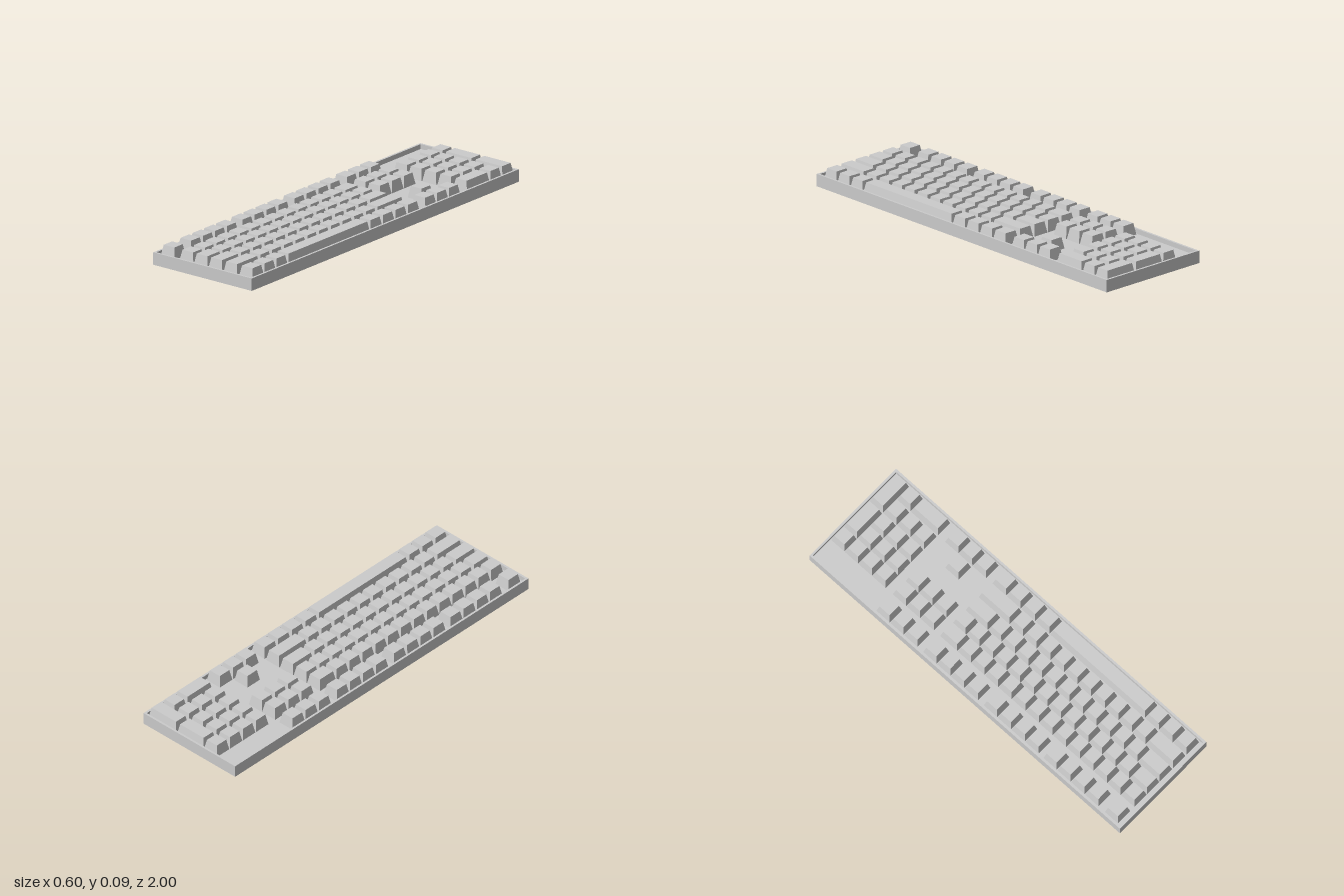
import * as THREE from 'three';

const material = new THREE.MeshStandardMaterial({ color: 0xcccccc, flatShading: true });
const W = 0.595, L = 2, H = 0.062, PLATE = 0.038, RIM = 0.011;
const KEY_TOP = 0.095, INSET = 0.0105, U = 0.0878, GAP = 0.004, KEY_W = 0.085;
// centre of each key row, back (function keys) to front (space bar)
const ROW_X = [-0.2355, -0.1225, -0.036, 0.052, 0.143, 0.237];

const repeat = (n, size = 1) => Array(n).fill(size);

// Tapered keycap: a box whose upper corners are pulled inwards
function keycap(name, x, z, w, l) {
  const h = KEY_TOP - PLATE;
  const geo = new THREE.BoxGeometry(w, h, l);
  const p = geo.attributes.position;
  for (let i = 0; i < p.count; i++) {
    if (p.getY(i) < 0) continue;
    p.setX(i, p.getX(i) - Math.sign(p.getX(i)) * INSET);
    p.setZ(i, p.getZ(i) - Math.sign(p.getZ(i)) * INSET);
  }
  geo.computeVertexNormals();
  const key = new THREE.Mesh(geo, material);
  key.name = name;
  key.position.set(x, PLATE + h / 2, z);
  return key;
}

// Lays keys one after another towards -z; a negative size is an empty space
function keyRow(name, x, zStart, sizes, w = KEY_W) {
  const row = new THREE.Group();
  row.name = name;
  let z = zStart;
  for (const s of sizes) {
    const l = Math.abs(s) * U;
    if (s > 0) row.add(keycap('key', x, z - l / 2, w, l - GAP));
    z -= l;
  }
  return row;
}

function rect(w, l, T) {
  return new T([
    new THREE.Vector2(-w / 2, -l / 2), new THREE.Vector2(w / 2, -l / 2),
    new THREE.Vector2(w / 2, l / 2), new THREE.Vector2(-w / 2, l / 2),
  ]);
}

function createCase() {
  const group = new THREE.Group();
  group.name = 'case';
  const base = new THREE.Mesh(new THREE.BoxGeometry(W, PLATE, L), material);
  base.name = 'basePlate';
  base.position.y = PLATE / 2;
  // raised border around the recessed plate
  const shape = rect(W, L, THREE.Shape);
  shape.holes.push(rect(W - 2 * RIM, L - 2 * RIM, THREE.Path));
  const frame = new THREE.ExtrudeGeometry(shape, { depth: H - PLATE, bevelEnabled: false });
  frame.rotateX(-Math.PI / 2);
  const rim = new THREE.Mesh(frame, material);
  rim.name = 'rim';
  rim.position.y = PLATE;
  group.add(base, rim);
  return group;
}

export function createModel() {
  const model = new THREE.Group();
  model.name = 'keyboard';
  model.add(createCase());

  // Main block
  const four = repeat(4, 1.02);
  const main = [
    ['functionRow', [1, -0.43, ...four, -0.3, ...four, -0.37, ...four]],
    ['numberRow', [...repeat(13), 1.3]],
    ['upperLetterRow', [1.3, ...repeat(13)]],
    ['homeRow', [1.63, ...repeat(11), 1.67]],
    ['lowerLetterRow', [2, ...repeat(10), 2.3]],
    ['spaceBarRow', [...repeat(3, 1.02), 7, ...repeat(4, 1.06)]],
  ];
  main.forEach(([name, sizes], i) => model.add(keyRow(name, ROW_X[i], 0.971, sizes)));

  // Navigation block and arrow keys
  const three = repeat(3, 1.02);
  for (const i of [0, 1, 2, 5]) {
    model.add(keyRow(i === 5 ? 'arrowRow' : 'navigationRow', ROW_X[i], -0.321, three));
  }
  model.add(keyRow('upArrow', ROW_X[4], -0.321, [-1.02, 1.02]));

  // Number pad: single keys, then the two tall keys in the last column
  const padZ = -0.632, pad = 1.01;
  model.add(keyRow('numberPadTopRow', ROW_X[1], padZ, repeat(4, pad)));
  for (const i of [2, 3, 4]) model.add(keyRow('numberPadRow', ROW_X[i], padZ, repeat(3, pad)));
  model.add(keyRow('numberPadBottomRow', ROW_X[5], padZ, [2 * pad, pad]));
  for (const [name, i] of [['plusKey', 2], ['enterKey', 4]]) {
    const mid = (ROW_X[i] + ROW_X[i + 1]) / 2;
    const w = ROW_X[i + 1] - ROW_X[i] + KEY_W;
    model.add(keyRow(name, mid, padZ, [-3 * pad, pad], w));
  }
  return model;
}
